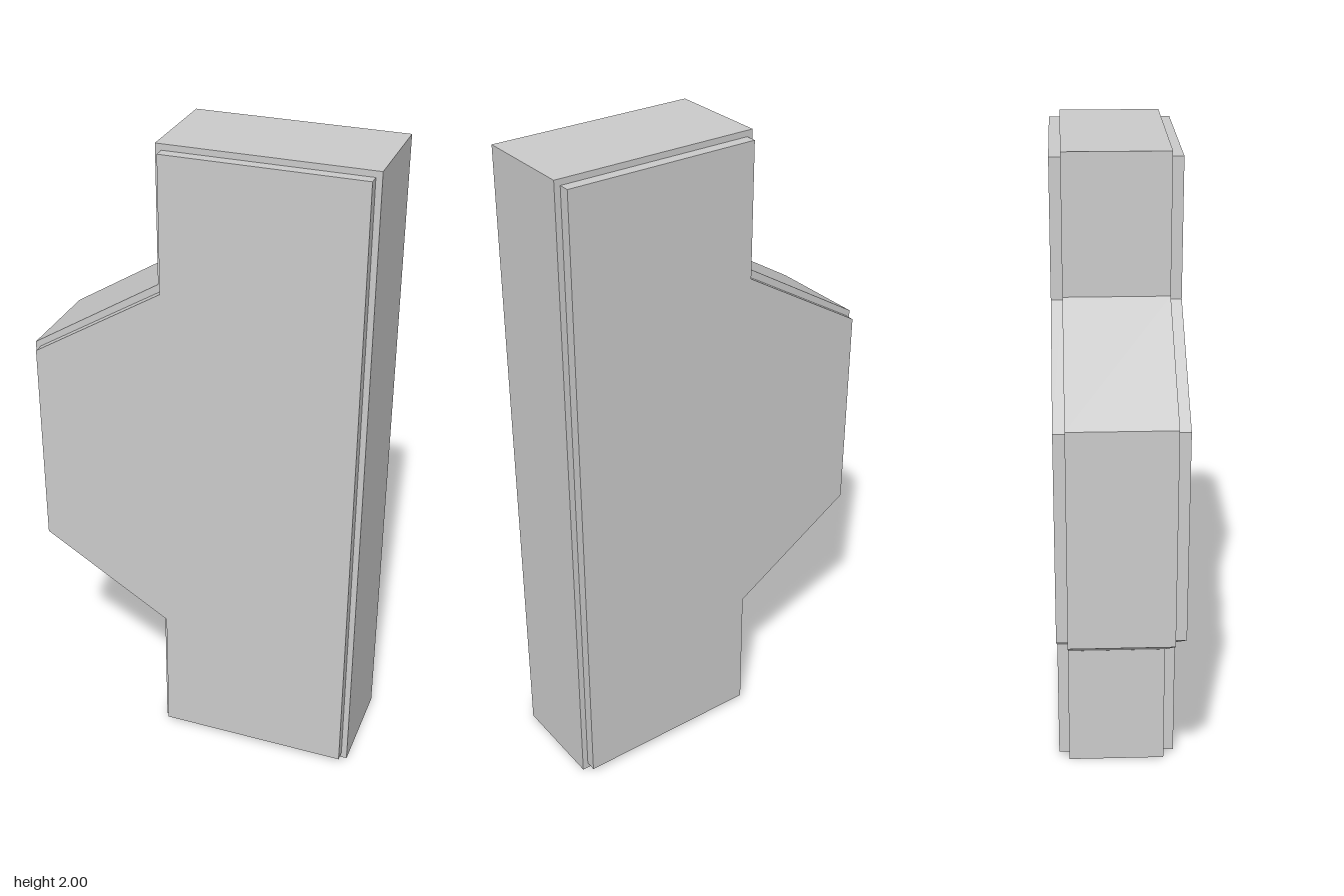
import * as THREE from 'three';

const material = new THREE.MeshStandardMaterial({ color: 0xcccccc, flatShading: true });

// Upright slab with a tapered bulge on one side, extruded from z0 to z1
function slab(name, points, z0, z1) {
  const shape = new THREE.Shape(points.map(([x, y]) => new THREE.Vector2(x, y)));
  const geometry = new THREE.ExtrudeGeometry(shape, { depth: z1 - z0, bevelEnabled: false });
  geometry.translate(0, 0, z0);
  const mesh = new THREE.Mesh(geometry, material);
  mesh.name = name;
  return mesh;
}

// Full outline, mirrored about y = 1 from its upper half
function outline(right, left, neck, top, shoulder, bulge) {
  const upper = [[right, top], [neck, top], [neck, shoulder], [left, bulge]];
  const lower = upper.map(([x, y]) => [x, 2 - y]).reverse();
  return [...upper, ...lower];
}

export function createModel() {
  const group = new THREE.Group();
  group.name = 'panelBlock';

  const coreOutline = outline(0.514, -0.514, -0.114, 2, 1.586, 1.336);
  const plateOutline = outline(0.496, -0.498, -0.096, 1.982, 1.572, 1.324);

  // Thick core, with a slightly smaller plate on each face
  group.add(slab('core', coreOutline, -0.155, 0.155));
  group.add(slab('frontPlate', plateOutline, 0.155, 0.188));
  group.add(slab('backPlate', plateOutline, -0.188, -0.155));
  return group;
}
